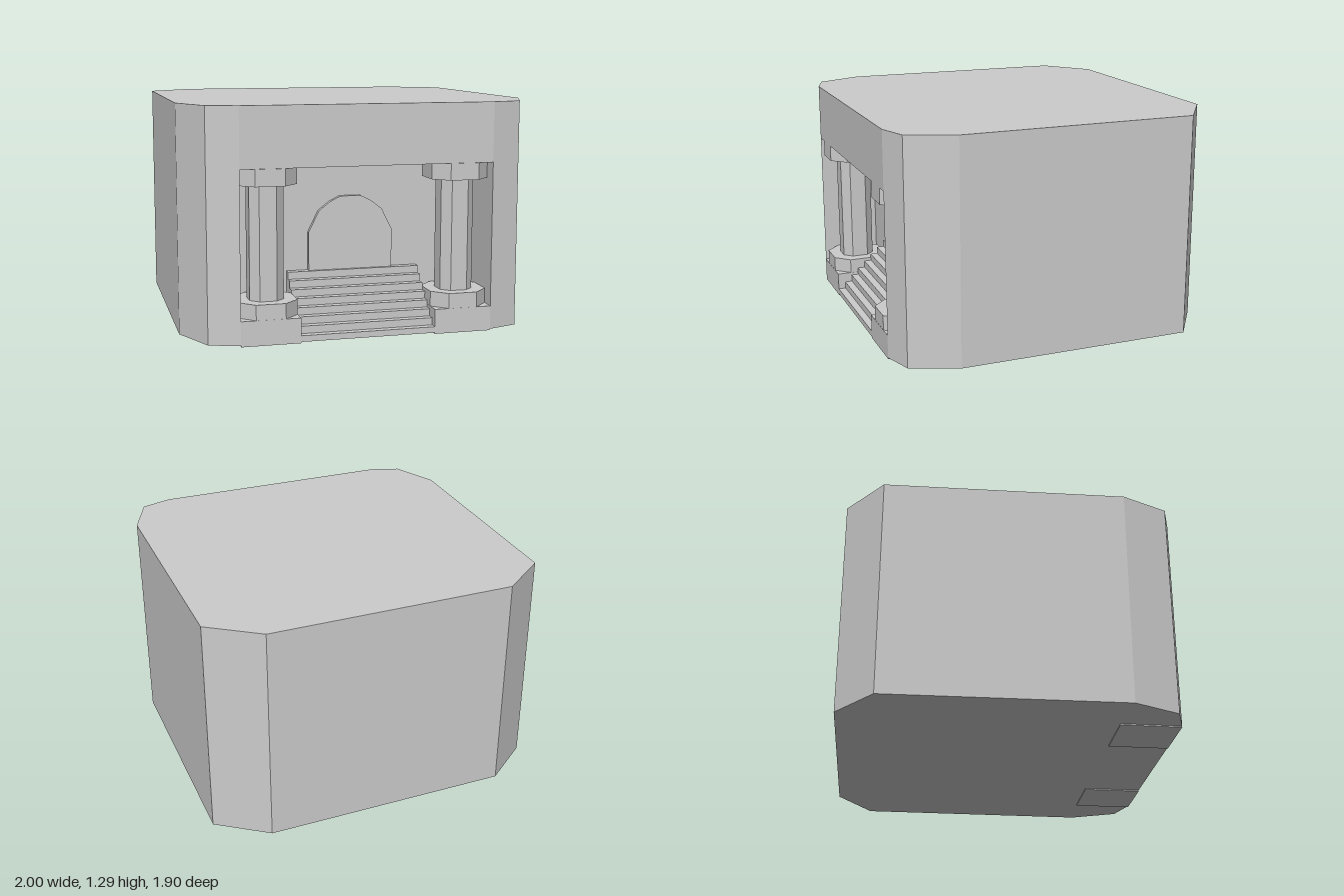
import * as THREE from 'three';

const material = new THREE.MeshStandardMaterial({ color: 0xcccccc, flatShading: true });

// Levels and recess limits
const BASE = 0.007, TOP = 1.29, LINTEL = 0.955;
const LEFT = -0.71, RIGHT = 0.715, FRONT = 0.95, BACK = 0.605;

function add(parent, name, geometry, x = 0, y = 0, z = 0) {
  const mesh = new THREE.Mesh(geometry, material);
  mesh.name = name;
  mesh.position.set(x, y, z);
  parent.add(mesh);
  return mesh;
}

// Vertical panel over the plan segment a -> b, facing right of the direction of travel
function wall([ax, az], [bx, bz], low, high) {
  const geometry = new THREE.BufferGeometry();
  geometry.setAttribute('position', new THREE.Float32BufferAttribute(
    [ax, low, az, bx, low, bz, bx, high, bz, ax, high, az], 3));
  geometry.setIndex([0, 1, 2, 0, 2, 3]);
  geometry.computeVertexNormals();
  return geometry;
}

// Horizontal panel from plan points [x, z]
function level(points, facesUp) {
  const sign = facesUp ? -1 : 1;
  const shape = new THREE.Shape(points.map(([x, z]) => new THREE.Vector2(x, sign * z)));
  return new THREE.ShapeGeometry(shape).rotateX(sign * Math.PI / 2);
}

function extrude(points, depth) {
  const shape = new THREE.Shape(points.map(([x, y]) => new THREE.Vector2(x, y)));
  return new THREE.ExtrudeGeometry(shape, { depth, bevelEnabled: false });
}

// Upright eight-sided block standing on y = 0
function octagonBlock(r, height) {
  const h = r / 2;
  return extrude([[r, -h], [r, h], [h, r], [-h, r], [-r, h], [-r, -h], [-h, -r], [h, -r]], height)
    .rotateX(-Math.PI / 2);
}

function createBuilding() {
  const building = new THREE.Group();
  building.name = 'building';
  const outline = [
    [LEFT, FRONT], [RIGHT, FRONT], [0.89, 0.893], [1, 0.625], [1, -0.75],
    [0.715, -0.95], [-0.71, -0.95], [-0.98, -0.74], [-1, 0.625], [-0.88, 0.893],
  ];
  // The first side is the front, open below the lintel
  outline.forEach((a, i) => {
    const b = outline[(i + 1) % outline.length];
    add(building, i ? 'outerWall' : 'lintel', wall(a, b, i ? BASE : LINTEL, TOP));
  });
  add(building, 'roof', level(outline, true), 0, TOP);
  add(building, 'underside', level(outline, false), 0, BASE);

  // Porch recess
  const recess = [[LEFT, FRONT], [LEFT, BACK], [RIGHT, BACK], [RIGHT, FRONT]];
  for (let i = 0; i < 3; i++) {
    add(building, 'porchWall', wall(recess[i], recess[i + 1], BASE, LINTEL));
  }
  add(building, 'porchCeiling', level(recess, false), 0, LINTEL);
  return building;
}

function createStairs() {
  const steps = 8, height = 0.33, depth = FRONT - BACK, width = 0.77;
  const profile = [[0, BASE]];
  for (let i = 0; i < steps; i++) {
    const y = height * (i + 1) / steps;
    profile.push([depth * i / steps, y], [depth * (i + 1) / steps, y]);
  }
  profile.push([depth, BASE]);
  // Profile runs backwards from the front edge, extruded across x
  return extrude(profile, width).rotateY(Math.PI / 2).translate(-width / 2, 0, FRONT);
}

function createColumn(x) {
  const column = new THREE.Group();
  column.name = x < 0 ? 'rightColumn' : 'leftColumn';
  column.position.set(x, 0, FRONT - 0.165);
  const depth = FRONT - BACK;
  add(column, 'pedestal', new THREE.BoxGeometry(0.33, 0.14, depth), 0, 0.07, 0.165 - depth / 2);
  add(column, 'columnBase', octagonBlock(0.164, 0.085), 0, 0.14);
  add(column, 'columnShaft', octagonBlock(0.095, 0.635), 0, 0.225);
  add(column, 'capital', octagonBlock(0.164, 0.094), 0, 0.86);
  return column;
}

export function createModel() {
  const model = new THREE.Group();
  model.name = 'porticoBuilding';
  model.add(createBuilding());
  add(model, 'stairs', createStairs());
  for (const x of [-0.545, 0.55]) model.add(createColumn(x));

  // Arched door, slightly proud of the porch wall
  const half = [[0.245, 0.33], [0.245, 0.55], [0.185, 0.67], [0.12, 0.72], [0.06, 0.75]];
  const arch = [...half, ...half.map(([x, y]) => [-x, y]).reverse()];
  add(model, 'archedDoor', extrude(arch, 0.025), -0.015, 0, BACK);
  return model;
}
